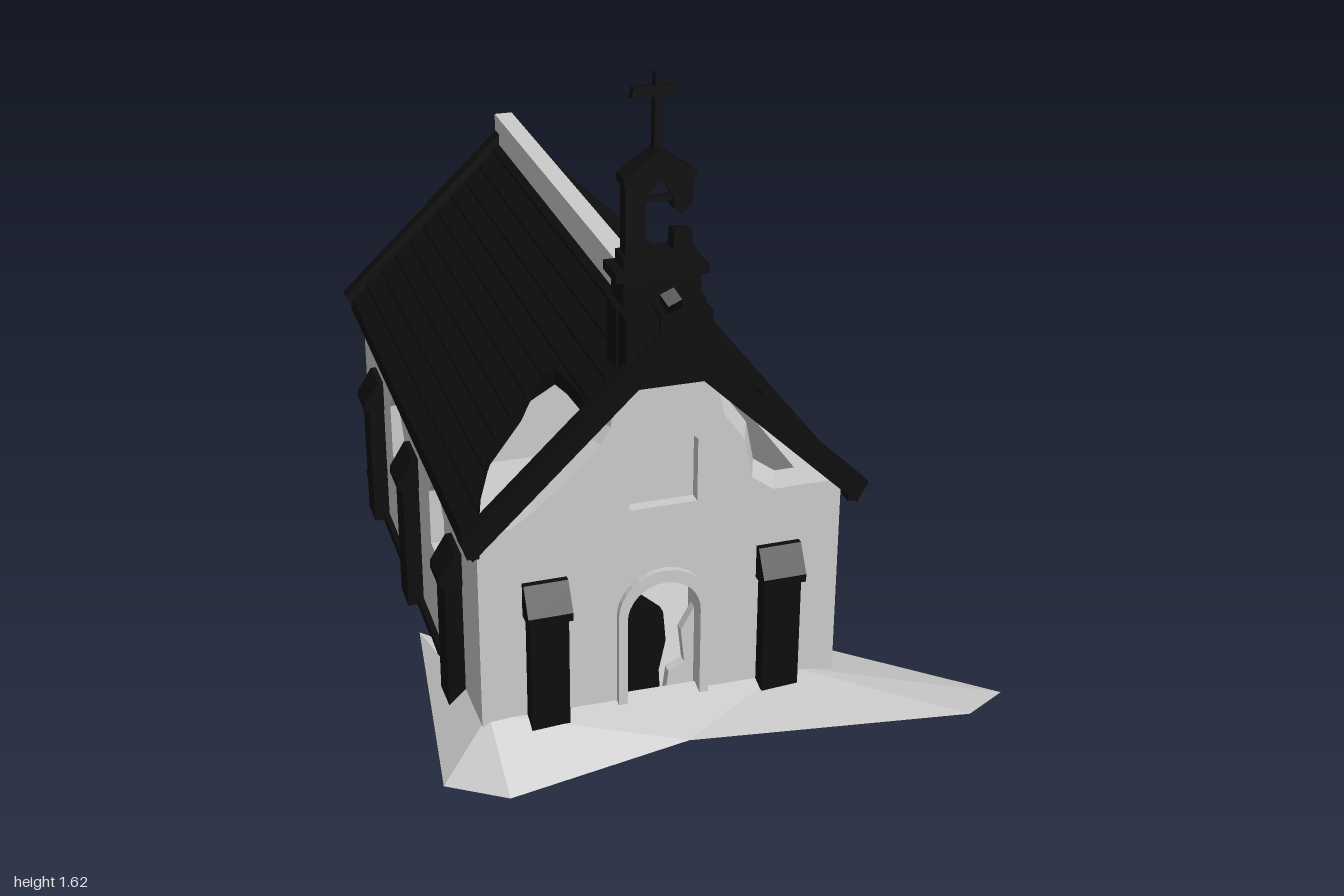
import * as THREE from 'three';

const grey = new THREE.MeshStandardMaterial({ color: 0xcccccc, flatShading: true, side: THREE.DoubleSide });
const black = new THREE.MeshStandardMaterial({ color: 0x0d0d0d, flatShading: true, side: THREE.DoubleSide });
const SLOPE = 0.957, HALF = 0.44;

function add(parent, name, geo, mat) {
  const m = new THREE.Mesh(geo, mat);
  m.name = name;
  parent.add(m);
  return m;
}
const shapeOf = (pts) => new THREE.Shape(pts.map((p) => new THREE.Vector2(...p)));
const extrude = (shape, depth) => new THREE.ExtrudeGeometry(shape, { depth, bevelEnabled: false, curveSegments: 8 });
// x/y outline, from z0 to z1
const slabZ = (shape, z0, z1) => extrude(shape, z1 - z0).translate(0, 0, z0);
// z/y outline, from x0 to x1
const slabX = (shape, x0, x1) => extrude(shape, x1 - x0).rotateY(-Math.PI / 2).translate(x1, 0, 0);
const box = (x0, x1, y0, y1, z0, z1) =>
  new THREE.BoxGeometry(x1 - x0, y1 - y0, z1 - z0).translate((x0 + x1) / 2, (y0 + y1) / 2, (z0 + z1) / 2);

// pointed window outline
const pointed = (c, half, y0, y1, y2) => [[c - half, y0], [c + half, y0], [c + half, y1], [c, y2], [c - half, y1]];
// round-headed door outline
function arch(r, y0, yc, S = THREE.Shape) {
  const s = new S();
  s.moveTo(-r, y0).lineTo(r, y0).lineTo(r, yc);
  s.absarc(0, yc, r, 0, Math.PI, false);
  s.lineTo(-r, y0);
  return s;
}

// piecewise linear edge of a roof hole: distance from ridge -> z
function edgeAt(table, d) {
  for (let i = 1; i < table.length; i++) {
    const [d0, z0] = table[i - 1], [d1, z1] = table[i];
    if (d >= d0 && d <= d1) return z0 + ((z1 - z0) * (d - d0)) / (d1 - d0);
  }
  return 0.75;
}

function buildWalls(g) {
  // front gable with broken shoulders
  const front = shapeOf([[-HALF, 0.03], [HALF, 0.03], [HALF, 0.59], [0.42, 0.61], [0.27, 0.61], [0.215, 0.65],
    [0.195, 0.75], [0.145, 0.82], [0.13, 0.885], [0, 1.01], [-0.12, 0.895], [-0.125, 0.83], [-0.15, 0.79],
    [-0.22, 0.72], [-0.3, 0.65], [-0.36, 0.61], [-0.42, 0.61], [-HALF, 0.59]]);
  const niche = pointed(0, 0.082, 0.61, 0.77, 0.84);
  front.holes.push(arch(0.093, 0.05, 0.325, THREE.Path), shapeOf(niche));
  const frontGeo = slabZ(front, 0.635, 0.72);
  const p = frontGeo.attributes.position;
  for (let i = 0; i < p.count; i++) { // the broken edges slant through the wall
    const x = p.getX(i), y = p.getY(i), ax = Math.abs(x);
    if (p.getZ(i) < 0.65 && y > 0.605 && ax > 0.1 && ax < 0.38 && y < 0.87) p.setX(i, x + Math.sign(x) * 0.035);
  }
  frontGeo.computeVertexNormals();
  add(g, 'frontWall', frontGeo, grey);
  add(g, 'gableNichePanel', slabZ(shapeOf(niche), 0.66, 0.69), grey);

  add(g, 'backWall', slabZ(shapeOf([[-HALF, 0.03], [HALF, 0.03], [HALF, 0.59], [0, 1.01], [-HALF, 0.59]]), -0.7, -0.64), grey);

  // side walls with recessed windows
  for (const s of [-1, 1]) {
    const wall = shapeOf([[-0.65, 0.03], [0.65, 0.03], [0.65, 0.59], [-0.65, 0.59]]);
    const xs = (a, b) => (s > 0 ? [a, b] : [-b, -a]);
    for (const z of [0.277, -0.228]) {
      const win = pointed(z, 0.093, 0.29, 0.44, 0.54);
      wall.holes.push(shapeOf(win));
      add(g, 'windowPanel', slabX(shapeOf(win), ...xs(0.385, 0.405)), grey);
    }
    add(g, 'sideWall', slabX(wall, ...xs(0.37, HALF)), grey);
  }

  // doorway surround and broken door
  const frame = arch(0.112, 0.05, 0.335);
  frame.holes.push(arch(0.09, 0.05, 0.325, THREE.Path));
  add(g, 'doorFrame', slabZ(frame, 0.7, 0.735), grey);
  add(g, 'brokenDoor', slabZ(shapeOf([[-0.093, 0.05], [0.01, 0.05], [0.005, 0.14], [0.022, 0.22], [0.015, 0.3],
    [-0.03, 0.34], [-0.06, 0.36], [-0.093, 0.35]]), 0.655, 0.68), black);
  add(g, 'doorRemnant', slabZ(shapeOf([[0.093, 0.05], [0.02, 0.05], [0.03, 0.13], [0.07, 0.15], [0.06, 0.24], [0.093, 0.3]]), 0.655, 0.68), grey);
}

function buildButtress(g, x, z, turn) {
  const b = new THREE.Group();
  b.name = 'buttress';
  add(b, 'shaft', box(-0.046, 0.046, 0.03, 0.4, -0.02, 0.042), black);
  add(b, 'cap', slabX(shapeOf([[-0.02, 0.38], [0.055, 0.38], [0.055, 0.4], [0.015, 0.465], [-0.02, 0.465]]), -0.053, 0.053), black);
  b.position.set(x, 0, z);
  b.rotation.y = turn;
  g.add(b);
}

function buildRoof(g) {
  const holes = {
    1: [[0, 0.75], [0.165, 0.75], [0.175, 0.55], [0.22, 0.44], [0.25, 0.42], [0.33, 0.44], [0.37, 0.52], [0.43, 0.61], [0.45, 0.75]],
    [-1]: [[0, 0.75], [0.175, 0.75], [0.18, 0.48], [0.24, 0.445], [0.27, 0.48], [0.36, 0.52], [0.4, 0.6], [0.445, 0.75]],
  };
  const rows = 11, step = 0.468 / rows;
  for (const s of [-1, 1]) {
    for (let r = 0; r < rows; r++) {
      // each course of boards stops at the edge of the hole
      const d0 = r * step, pts = [[s * d0, 0.735], [s * (d0 + step), 0.735]];
      for (let k = 5; k >= 0; k--) {
        const d = d0 + (step * k) / 5;
        pts.push([s * d, -edgeAt(holes[s], d)]);
      }
      const geo = extrude(shapeOf(pts), 0.035).rotateX(-Math.PI / 2);
      const p = geo.attributes.position;
      for (let i = 0; i < p.count; i++) {
        const d = Math.abs(p.getX(i)), t = p.getY(i);
        const lift = t > 0.01 ? 0.01 * (d - d0) / step : 0;
        p.setY(i, 1.012 - SLOPE * d + t + lift);
      }
      geo.computeVertexNormals();
      add(g, 'roofCourse', geo, black);
    }
    add(g, 'eaveBoard', box(s > 0 ? 0.442 : -0.465, s > 0 ? 0.465 : -0.442, 0.57, 0.595, -0.72, 0.76), black);
  }
  // gable trims
  const trim = shapeOf([[0, 1.01], [0.46, 0.57], [0.488, 0.618], [0, 1.085], [-0.488, 0.618], [-0.46, 0.57]]);
  add(g, 'frontRake', slabZ(trim, 0.735, 0.77), black);
  add(g, 'backRake', slabZ(trim, -0.74, -0.7), black);
  add(g, 'ridgeBeam', box(-0.025, 0.025, 1.03, 1.108, -0.745, 0.6), grey);
  add(g, 'ridgeEnd', box(-0.025, 0.025, 1.03, 1.108, 0.7, 0.765), black);
}

function buildBelfry(g) {
  const b = new THREE.Group();
  b.name = 'belfry';
  b.position.z = 0.655;
  // stepped base: half width, bottom, top, half depth
  for (const [w, y0, y1, d] of [[0.104, 0.9, 1.105, 0.037], [0.09, 1.08, 1.17, 0.046], [0.108, 1.165, 1.187, 0.048], [0.085, 1.187, 1.217, 0.032]])
    add(b, 'belfryBase', box(-w, w, y0, y1, -d, d), black);
  add(b, 'belfryFoot', box(-0.1, 0.1, 0.93, 1.1, 0.02, 0.1), black);
  // arched frame whose right post is broken through
  add(b, 'bellFrame', slabZ(shapeOf([[-0.077, 1.21], [-0.032, 1.21], [-0.032, 1.345], [0, 1.382], [0.033, 1.345],
    [0.033, 1.315], [0.05, 1.3], [0.075, 1.322], [0.077, 1.39], [0, 1.45], [-0.077, 1.39]]), -0.02, 0.02), black);
  add(b, 'postStub', slabZ(shapeOf([[0.032, 1.21], [0.077, 1.21], [0.077, 1.258], [0.035, 1.262]]), -0.02, 0.02), black);
  add(b, 'bellBar', box(-0.04, 0.04, 1.33, 1.343, -0.008, 0.008), black);
  add(b, 'bellGable', slabZ(shapeOf([[-0.084, 1.378], [0, 1.435], [0.084, 1.378], [0.084, 1.396], [0, 1.456], [-0.084, 1.396]]), -0.026, 0.026), black);
  // weathered cross
  add(b, 'crossUpright', slabZ(shapeOf([[-0.011, 1.43], [0.011, 1.43], [0.011, 1.605], [-0.008, 1.622]]), -0.011, 0.011), black);
  add(b, 'crossArm', slabZ(shapeOf([[-0.062, 1.568], [0.04, 1.568], [0.06, 1.578], [0.038, 1.592], [-0.055, 1.592]]), -0.01, 0.01), black);
  const stone = add(b, 'looseStone', new THREE.BoxGeometry(0.035, 0.035, 0.035), black);
  stone.position.set(0, 1.135, 0.103);
  stone.rotation.set(0.6, 0.3, 0.2);
  g.add(b);
}

function buildAnnex(g) {
  const side = [[-0.7, 0.03], [-0.97, 0.03], [-0.97, 0.33], [-0.7, 0.5]];
  for (const s of [-1, 1]) {
    add(g, 'annexSideWall', slabX(shapeOf(side), s * 0.225 - 0.01, s * 0.225 + 0.01), grey);
    add(g, 'annexRake', slabX(shapeOf([[-0.7, 0.485], [-0.975, 0.308], [-0.992, 0.36], [-0.7, 0.545]]), s * 0.24 - 0.013, s * 0.24 + 0.013), black);
  }
  add(g, 'annexBackWall', box(-0.235, 0.235, 0.03, 0.34, -0.97, -0.95), grey);
  add(g, 'annexRoof', slabX(shapeOf([[-0.7, 0.49], [-0.972, 0.32], [-0.985, 0.355], [-0.7, 0.536]]), -0.24, 0.24), black);
}

function buildBase(g) {
  const outline = (w, a, v, b) => [[-w, -0.73 + a], [w, -0.73 + a], [w, 0.715 - a], [v, 0.715 - a], [v, 0.985 - b], [-v, 0.985 - b], [-v, 0.715 - a], [-w, 0.715 - a]];
  const rim = shapeOf(outline(0.455, 0, 0.252, 0));
  rim.holes.push(shapeOf(outline(0.43, 0.025, 0.22, 0.035)));
  add(g, 'plinth', extrude(rim, 0.026).rotateX(-Math.PI / 2).translate(0, 0.022, 0), black);
  add(g, 'floor', box(-0.438, 0.438, 0.03, 0.05, -0.7, 0.715), grey);
}

function buildGround() {
  // faceted mound of earth at the entrance
  const v = [-0.61, 0.03, 0.18, -0.68, 0, 0.785, -0.55, 0.02, 0.9, -0.11, 0.06, 0.865, 0.55, 0.08, 0.99, 0.68, 0.055, 0.9,
    0.36, 0.03, 0.56, 0.2, 0.098, 0.7, -0.55, 0.115, 0.7, -0.13, 0.02, 0.7];
  const f = [0, 1, 8, 1, 2, 8, 2, 3, 8, 8, 3, 7, 3, 4, 7, 4, 5, 7, 5, 6, 7, 3, 9, 5, 3, 5, 4, 9, 6, 5, 1, 9, 2, 2, 9, 3, 1, 0, 9];
  const geo = new THREE.BufferGeometry();
  geo.setAttribute('position', new THREE.Float32BufferAttribute(v, 3));
  geo.setIndex(f);
  const flat = geo.toNonIndexed();
  flat.computeVertexNormals();
  return flat;
}

export function createModel() {
  const model = new THREE.Group();
  model.name = 'ruinedChapel';
  const church = new THREE.Group();
  church.name = 'chapel';
  church.position.x = -0.13;
  buildBase(church);
  buildWalls(church);
  for (const z of [0.5, 0.0, -0.475]) {
    buildButtress(church, HALF, z, Math.PI / 2);
    buildButtress(church, -HALF, z, -Math.PI / 2);
  }
  for (const x of [-0.285, 0.285]) buildButtress(church, x, 0.72, 0);
  buildRoof(church);
  buildBelfry(church);
  buildAnnex(church);
  model.add(church);
  add(model, 'ground', buildGround(), grey);
  return model;
}
